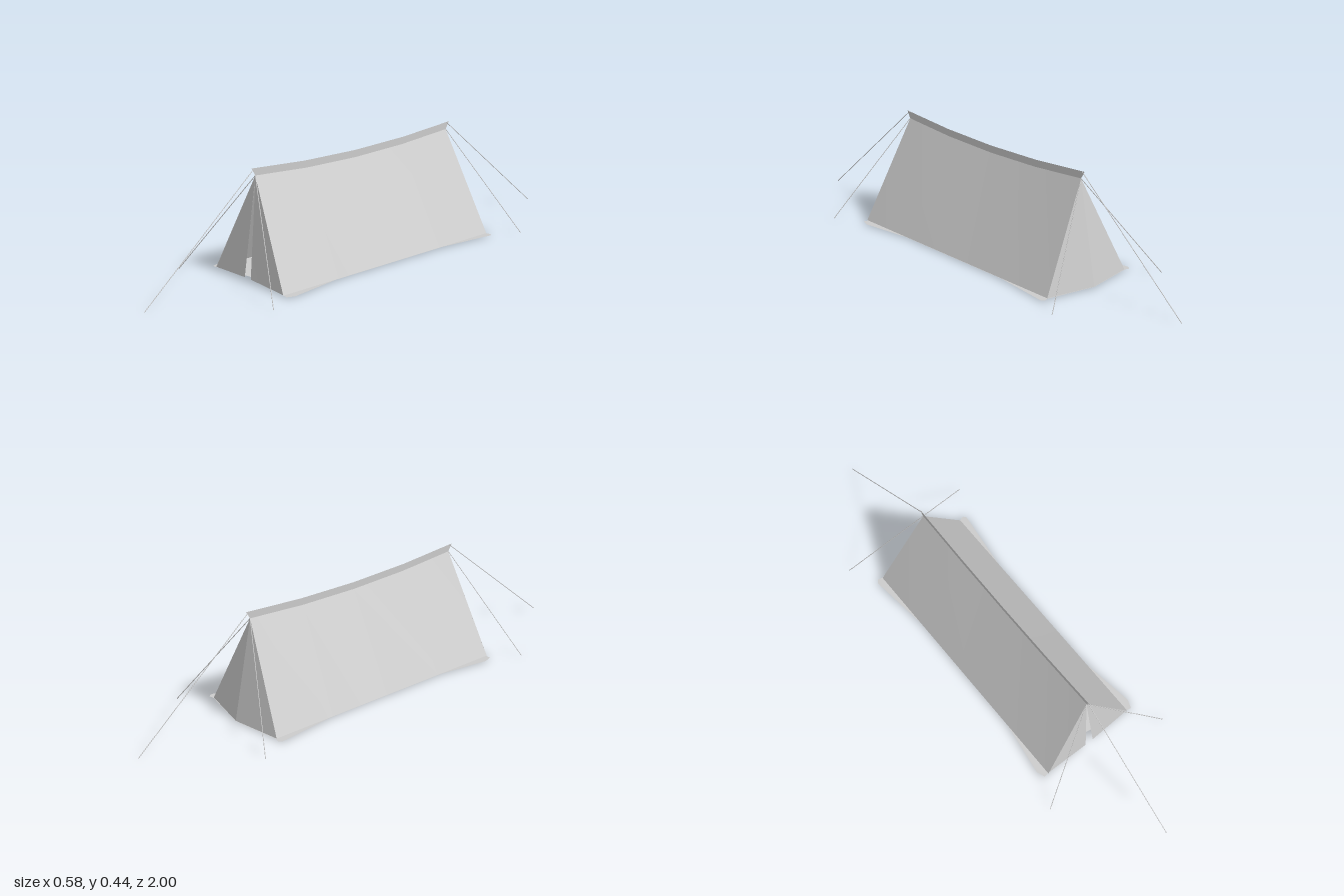
import * as THREE from 'three';

const fabric = new THREE.MeshStandardMaterial({ color: 0xcccccc, side: THREE.DoubleSide });
const cord = new THREE.MeshStandardMaterial({ color: 0xcccccc });

// Cloth stretched between two edges with the same number of points
function panel(name, lower, upper) {
  const n = lower.length;
  const index = [];
  for (let i = 0; i < n - 1; i++) index.push(i, i + 1, n + i, i + 1, n + i + 1, n + i);
  const geo = new THREE.BufferGeometry();
  geo.setAttribute('position', new THREE.Float32BufferAttribute([...lower, ...upper].flat(), 3));
  geo.setIndex(index);
  geo.computeVertexNormals();
  const mesh = new THREE.Mesh(geo, fabric);
  mesh.name = name;
  return mesh;
}

function rope(name, from, to) {
  const a = new THREE.Vector3(...from), b = new THREE.Vector3(...to);
  const mesh = new THREE.Mesh(new THREE.CylinderGeometry(0.0015, 0.0015, a.distanceTo(b), 6), cord);
  mesh.position.copy(a).add(b).multiplyScalar(0.5);
  mesh.quaternion.setFromUnitVectors(new THREE.Vector3(0, 1, 0), b.sub(a).normalize());
  mesh.name = name;
  return mesh;
}

export function createModel() {
  const tent = new THREE.Group();
  tent.name = 'tent';
  const halfWidth = 0.203, base = 0.003;
  const steps = [-1, -0.5, 0, 0.5, 1];

  // Sagging ridge line and the upright seam strip standing on it
  const ridge = steps.map(t => [0, 0.382 + 0.024 * t * t, 0.49 * t]);
  const seamTop = steps.map(t => [0, 0.411 + 0.025 * t * t, 0.507 * t]);
  tent.add(panel('ridgeSeam', ridge.map(p => [...p]).reverse(), seamTop.reverse()));

  for (const side of [-1, 1]) {
    const label = side > 0 ? 'left' : 'right';
    // Sloping side wall
    const foot = steps.map(t => [side * halfWidth, base, 0.53 * t]);
    tent.add(side > 0
      ? panel(label + 'Wall', foot.reverse(), [...ridge].reverse())
      : panel(label + 'Wall', foot, ridge));

    // Front door flap, leaving a narrow slit in the middle
    const outer = [[side * halfWidth, base, 0.527], [0, 0.406, 0.49]];
    const inner = [[side * 0.018, 0.015, 0.535], [side * 0.002, 0.362, 0.494]];
    tent.add(side > 0
      ? panel(label + 'Door', inner, outer)
      : panel(label + 'Door', outer, inner));

    // Half of the back wall, pushed out along its middle seam
    const corner = [side * halfWidth, base, -0.53], middle = [0, base, -0.57];
    const apex = [0, 0.406, -0.49];
    const lower = side > 0 ? [corner, middle] : [middle, corner];
    tent.add(panel(label + 'BackWall', lower, [apex, apex]));
  }

  // Ground sheet with flared corners
  const half = [[0, -0.57], [0.203, -0.532], [0.222, -0.537], [0.232, -0.525],
    [0.203, -0.28], [0.203, 0.28], [0.234, 0.497], [0.222, 0.53], [0.203, 0.527], [0, 0.49]];
  const mirrored = half.slice(1, -1).reverse().map(([x, z]) => [-x, z]);
  const outline = [...half, ...mirrored].map(p => new THREE.Vector2(...p));
  const sheet = new THREE.ShapeGeometry(new THREE.Shape(outline));
  sheet.rotateX(Math.PI / 2);
  const floor = new THREE.Mesh(sheet, fabric);
  floor.position.y = 0.002;
  floor.name = 'groundSheet';
  tent.add(floor);

  // Three guy lines at each end
  for (const end of [-1, 1]) {
    const label = end > 0 ? 'front' : 'back';
    tent.add(rope(label + 'MiddleGuyLine', [0, 0.433, end * 0.495], [0, 0.001, end * 0.999]));
    for (const side of [-1, 1]) {
      tent.add(rope(label + (side > 0 ? 'Left' : 'Right') + 'GuyLine',
        [0, 0.406, end * 0.49], [side * 0.288, 0.001, end * 0.643]));
    }
  }
  return tent;
}
